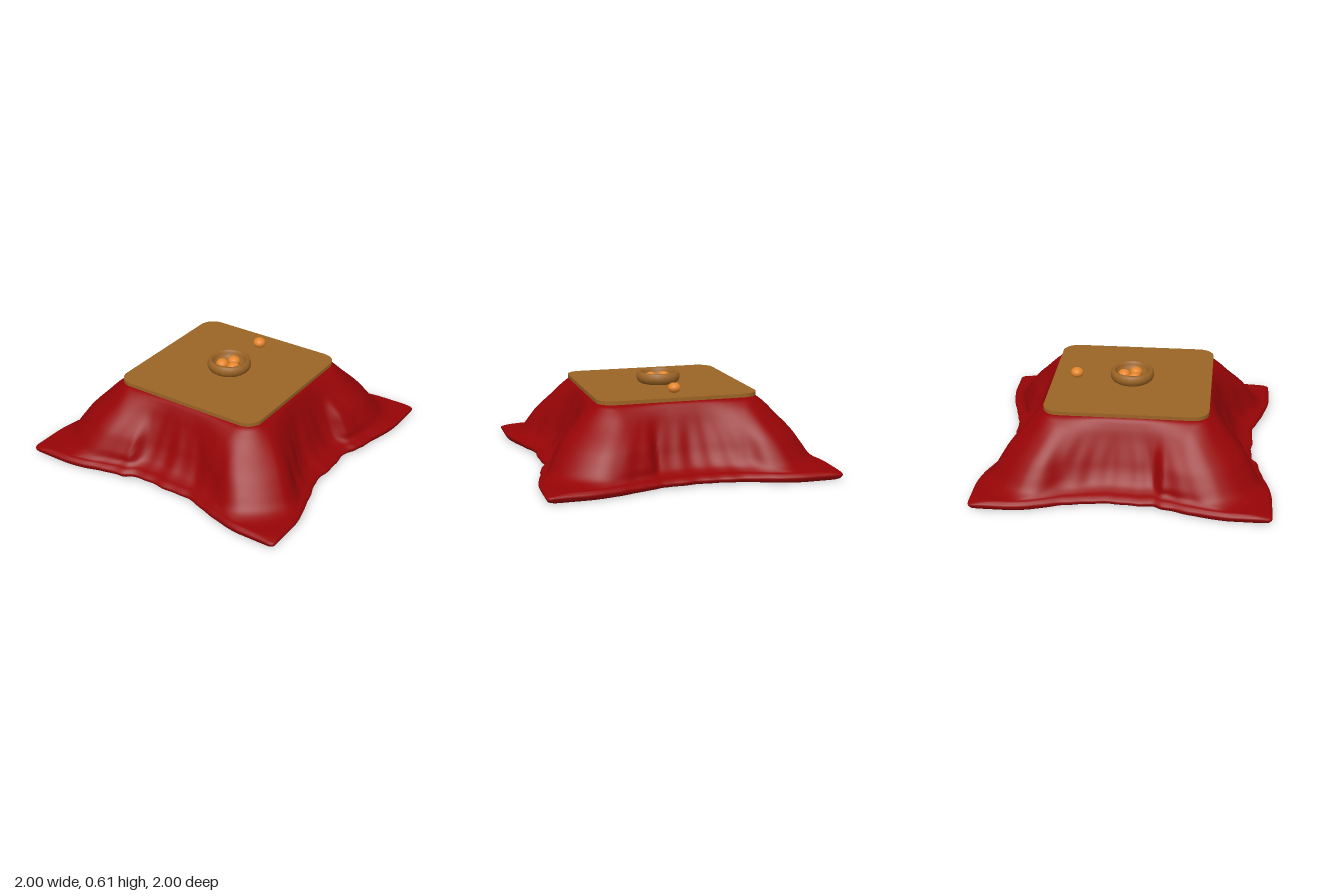
import * as THREE from 'three';

const smooth = THREE.MathUtils.smoothstep;
const lerp = THREE.MathUtils.lerp;

// Rounded square slab lying flat, from height y0 to y1
function slab(half, radius, y0, y1) {
  const s = new THREE.Shape();
  const k = half - radius;
  s.absarc(k, k, radius, 0, Math.PI / 2);
  s.absarc(-k, k, radius, Math.PI / 2, Math.PI);
  s.absarc(-k, -k, radius, Math.PI, Math.PI * 1.5);
  s.absarc(k, -k, radius, Math.PI * 1.5, Math.PI * 2);
  const g = new THREE.ExtrudeGeometry(s, { depth: y1 - y0, bevelEnabled: false, curveSegments: 10 });
  g.rotateX(-Math.PI / 2);
  g.translate(0, y0, 0);
  return g;
}

// Thick draped cloth: square rings from the table edge down to the hem, then back up inside
function drapeGeometry() {
  // corner lobes: half-width, height, corner roundness
  const corner = new THREE.CatmullRomCurve3([
    [0.5, 0.497, 0.08], [0.555, 0.492, 0.11], [0.615, 0.455, 0.19], [0.71, 0.372, 0.31],
    [0.822, 0.26, 0.4], [0.878, 0.175, 0.42], [0.92, 0.1, 0.41], [0.948, 0.068, 0.34],
    [0.982, 0.052, 0.1], [1, 0.03, 0.03], [0.988, 0.005, 0.03], [0.94, 0.003, 0.2],
    [0.9, 0.04, 0.36], [0.845, 0.15, 0.39], [0.785, 0.24, 0.37], [0.68, 0.345, 0.28],
    [0.59, 0.425, 0.17], [0.54, 0.465, 0.1],
  ].map(p => new THREE.Vector3(...p)));
  // middle of each side: distance out, height
  const middle = new THREE.CatmullRomCurve3([
    [0.5, 0.497], [0.555, 0.49], [0.588, 0.44], [0.627, 0.345],
    [0.67, 0.245], [0.708, 0.16], [0.755, 0.095], [0.8, 0.066],
    [0.842, 0.05], [0.867, 0.028], [0.855, 0.005], [0.8, 0.003],
    [0.745, 0.035], [0.68, 0.13], [0.638, 0.22], [0.595, 0.33],
    [0.56, 0.41], [0.54, 0.465],
  ].map(p => new THREE.Vector3(p[0], p[1], 0)));

  const rows = 85, perSide = 100, ring = perSide * 4;
  const pos = [], index = [];
  for (let j = 0; j <= rows; j++) {
    const c = corner.getPoint(j / rows), m = middle.getPoint(j / rows);
    const fold = 1 - smooth(c.y, 0.22, 0.46);
    const crease = fold * smooth(c.y, 0.05, 0.14);
    for (let k = 0; k < 4; k++) {
      const sign = k % 2 ? 1 : -1;
      for (let i = 0; i < perSide; i++) {
        const t = -1 + 2 * i / perSide;
        let along = c.x * t;
        const soft = smooth(Math.abs(t), 0.15, 0.76);
        const sharp = smooth(along * sign, 0.21, 0.28);
        const lift = soft + (1 - soft) * sharp * (0.25 * crease + 0.18 * fold);
        let out = lerp(m.x, c.x, lift);
        // soft ripples fading out towards the corners
        const calm = (1 - soft) * fold;
        out += calm * (0.006 * Math.sin(17 * t + k * 2) + 0.003 * Math.sin(41 * t + k * 5));
        out -= crease * 0.015 * Math.exp(-(((along * sign + 0.42) / 0.06) ** 2));
        const y = lerp(m.y, c.y, lift);
        // round the corner off
        const e = c.x - c.z, da = Math.abs(along) - e, db = out - e;
        if (da > 0 && db > 0) {
          const f = Math.max(da, db) / Math.hypot(da, db);
          along = Math.sign(along) * (e + da * f);
          out = e + db * f;
        }
        const p = [[along, out], [out, -along], [-along, -out], [-out, along]][k];
        pos.push(p[0], y, p[1]);
      }
    }
  }
  for (let j = 0; j < rows; j++) {
    for (let i = 0; i < ring; i++) {
      const a = j * ring + i, b = j * ring + (i + 1) % ring;
      index.push(a, a + ring, b, b, a + ring, b + ring);
    }
  }
  const g = new THREE.BufferGeometry();
  g.setAttribute('position', new THREE.Float32BufferAttribute(pos, 3));
  g.setIndex(index);
  g.computeVertexNormals();
  return g;
}

export function createModel() {
  const group = new THREE.Group();
  const material = (name, color, extra = {}) => {
    const m = new THREE.MeshStandardMaterial({ color, ...extra });
    m.name = name;
    return m;
  };
  const wood = material('wood', 0x9b6425);
  const red = material('red cloth', 0x960406, { side: THREE.DoubleSide });
  const orange = material('orange fruit', 0xe4852a);

  const add = (name, geometry, mat, x = 0, y = 0, z = 0) => {
    const mesh = new THREE.Mesh(geometry, mat);
    mesh.name = name;
    mesh.position.set(x, y, z);
    group.add(mesh);
  };

  // Table and blanket
  add('tabletop', slab(0.562, 0.11, 0.5, 0.526), wood);
  add('underFrame', slab(0.53, 0.06, 0.425, 0.499), wood);
  add('blanket', drapeGeometry(), red);
  const leg = new THREE.CylinderGeometry(0.027, 0.027, 0.42, 16);
  for (const x of [-0.47, 0.47]) {
    for (const z of [-0.47, 0.47]) add('leg', leg, wood, x, 0.22, z);
  }

  // Bowl with a thick rolled wall
  const profile = [
    [0, 0], [0.13, 0], [0.146, 0.012], [0.155, 0.035], [0.153, 0.055], [0.145, 0.073], [0.135, 0.08],
    [0.122, 0.077], [0.118, 0.06], [0.108, 0.035], [0.085, 0.018], [0, 0.014],
  ].map(p => new THREE.Vector2(...p));
  add('bowl', new THREE.LatheGeometry(profile, 20), wood, 0, 0.526, 0);

  // Fruit in the bowl and one on the table
  const fruit = new THREE.SphereGeometry(0.045, 20, 14);
  fruit.scale(1, 0.8, 1);
  for (const [x, z] of [[-0.045, 0.022], [0.048, 0.022], [0, -0.058]]) {
    add('bowlFruit', fruit, orange, x, 0.56, z);
  }
  add('looseFruit', fruit, orange, 0, 0.56, -0.395);

  return group;
}
